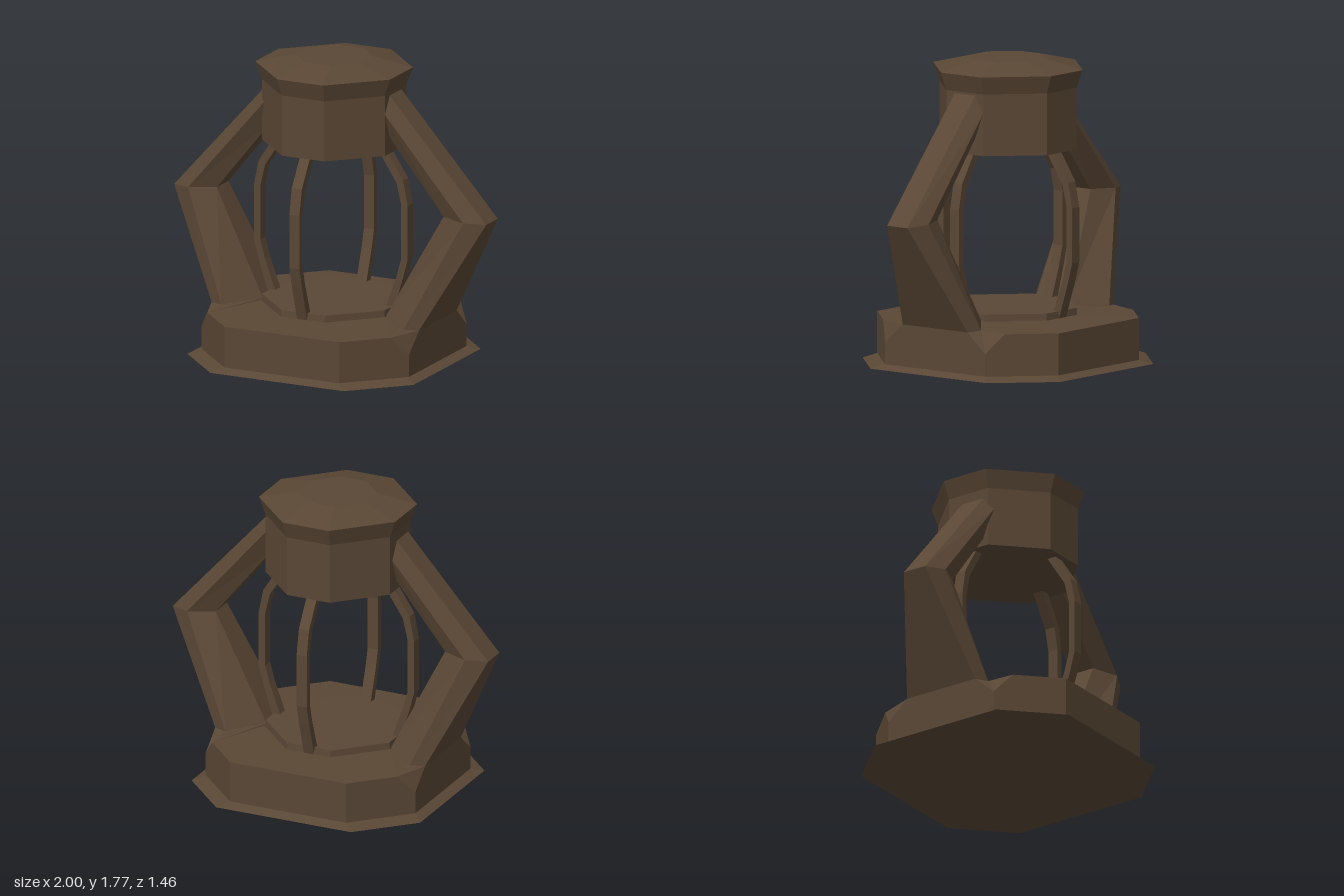
import * as THREE from 'three';

const material = new THREE.MeshStandardMaterial({ color: 0x5a4735, flatShading: true });
const CX = -0.02; // base, cage and head sit slightly off the arms' centre line

// Skin a stack of rings (counter-clockwise seen from above) and cap both ends
function loft(name, rings) {
  const pos = [];
  const tri = (...pts) => pts.forEach((p) => pos.push(...p));
  const n = rings[0].length;
  for (let r = 0; r < rings.length - 1; r++) {
    for (let i = 0; i < n; i++) {
      const j = (i + 1) % n;
      const [a, b, c, d] = [rings[r][i], rings[r][j], rings[r + 1][j], rings[r + 1][i]];
      tri(a, b, c);
      tri(a, c, d);
    }
  }
  const low = rings[0], high = rings[rings.length - 1];
  for (let i = 1; i < n - 1; i++) {
    tri(low[0], low[i + 1], low[i]);
    tri(high[0], high[i], high[i + 1]);
  }
  const geometry = new THREE.BufferGeometry();
  geometry.setAttribute('position', new THREE.Float32BufferAttribute(pos, 3));
  geometry.computeVertexNormals();
  const mesh = new THREE.Mesh(geometry, material);
  mesh.name = name;
  return mesh;
}

// Eight-sided ring: h = half width, c = half length of the straight sides
function octagon(y, h, c, hx = h, cz = c) {
  return [[hx, cz], [hx, -cz], [c, -h], [-c, -h], [-hx, -cz], [-hx, cz], [-c, h], [c, h]]
    .map(([x, z]) => [x + CX, y, z]);
}

// Six-sided arm section from three [x, y, half depth] rows: outer, middle, inner
function armSection([o, m, i], side, shift, zShift) {
  const at = ([x, y, d], s) => [side * x + shift, y, s * d + zShift];
  const ring = [at(o, 1), at(o, -1), at(m, -1), at(i, -1), at(i, 1), at(m, 1)];
  return side < 0 ? ring.reverse() : ring;
}

function arm(side) {
  const foot = side < 0 ? -0.04 : 0;
  const dz = side < 0 ? 0.03 : 0;
  return loft(side > 0 ? 'leftArm' : 'rightArm', [
    armSection([[0.65, 0.155, 0.37], [0.57, 0.27, 0.45], [0.38, 0.26, 0.14]], side, foot, 0),
    armSection([[0.65, 0.27, 0.24], [0.57, 0.275, 0.275], [0.38, 0.3, 0.12]], side, foot, 0),
    armSection([[1, 0.905, 0.075], [0.88, 0.915, 0.135], [0.725, 0.92, 0.075]], side, 0, dz),
    armSection([[0.37, 1.61, 0.075], [0.37, 1.51, 0.135], [0.37, 1.36, 0.075]], side, 0, dz),
  ]);
}

// Flat bent bar of the cage, drawn in the radius / height plane
function cageBarGeometry() {
  const outer = [[0.4, 0.29], [0.465, 0.5], [0.497, 0.62], [0.497, 0.94], [0.467, 1.09], [0.36, 1.255]];
  const inner = [[0.305, 1.255], [0.425, 1.07], [0.455, 0.94], [0.455, 0.62], [0.425, 0.51], [0.345, 0.29]];
  const shape = new THREE.Shape([...outer, ...inner].map((p) => new THREE.Vector2(...p)));
  const geometry = new THREE.ExtrudeGeometry(shape, { depth: 0.065, bevelEnabled: false });
  return geometry.translate(0, 0, -0.0325);
}

export function createModel() {
  const model = new THREE.Group();
  model.name = 'lantern';

  // Base with a thin flared foot and corners chamfered beside the arms
  model.add(loft('base', [
    octagon(0, 0.73, 0.43),
    octagon(0.025, 0.67, 0.37),
    octagon(0.155, 0.67, 0.37),
    octagon(0.27, 0.67, 0.37, 0.59, 0.45),
    octagon(0.29, 0.4, 0.15),
  ]));
  model.add(loft('basePlate', [octagon(0.28, 0.4, 0.14), octagon(0.33, 0.395, 0.14)]));

  // Head with flared rim and shallow cap
  model.add(loft('head', [
    octagon(1.255, 0.397, 0.137),
    octagon(1.615, 0.397, 0.137),
    octagon(1.72, 0.435, 0.147),
    octagon(1.775, 0.212, 0.08),
  ]));

  // Bent side arms
  for (const side of [1, -1]) model.add(arm(side));

  // Four cage bars around the lamp
  const cage = new THREE.Group();
  cage.name = 'cage';
  cage.position.x = CX - 0.005;
  const barGeometry = cageBarGeometry();
  for (let i = 0; i < 4; i++) {
    const bar = new THREE.Mesh(barGeometry, material);
    bar.name = 'cageBar';
    bar.rotation.y = (i * Math.PI) / 2;
    cage.add(bar);
  }
  model.add(cage);

  return model;
}
